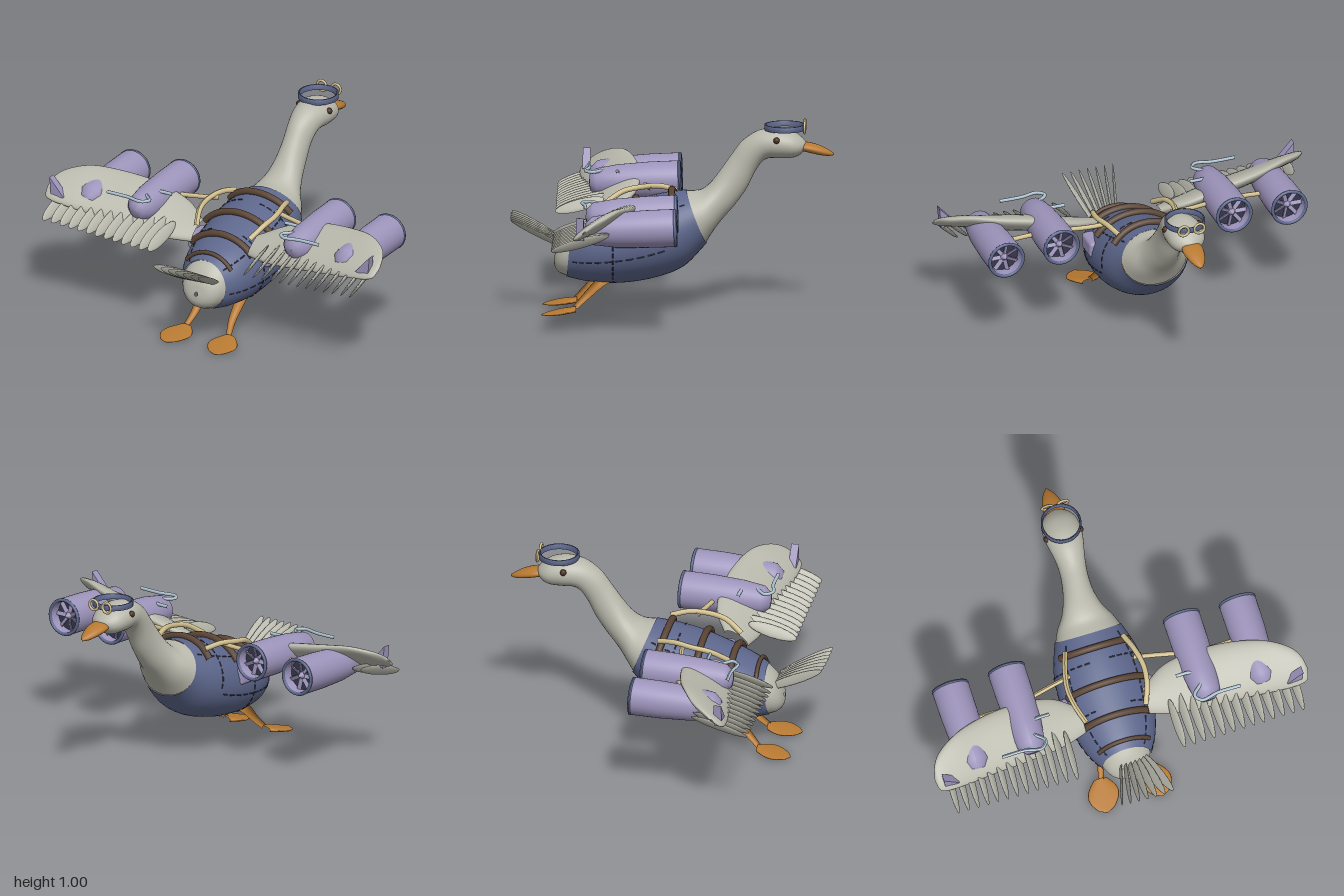
import * as THREE from 'three';
import { RoundedBoxGeometry } from 'three/addons/geometries/RoundedBoxGeometry.js';

const V = (x, y, z) => new THREE.Vector3(x, y, z);
const colours = {
  featherGrey: 0xb8b8ac, navy: 0x5d678c, lavender: 0x9d94bb, orange: 0xb87a32,
  strapBrown: 0x5a4434, tan: 0xcfbd8c, paleBlue: 0xadc0cf, seamDark: 0x34364a, eyeBrown: 0x4a2f22,
};

// Skin a closed surface over P(t, angle)
function loft(P, nt, na) {
  const pos = [], idx = [];
  for (let i = 0; i <= nt; i++)
    for (let j = 0; j < na; j++) pos.push(...P(i / nt, (j / na) * Math.PI * 2).toArray());
  for (let i = 0; i < nt; i++)
    for (let j = 0; j < na; j++) {
      const a = i * na + j, b = a + na, c = i * na + (j + 1) % na, d = c + na;
      idx.push(a, b, c, b, d, c);
    }
  const g = new THREE.BufferGeometry();
  g.setAttribute('position', new THREE.Float32BufferAttribute(pos, 3));
  g.setIndex(idx);
  g.computeVertexNormals();
  return g;
}

// Rows from back to front: top z, top y, bottom z, bottom y, half width
function bodySurface(rows) {
  const top = new THREE.CatmullRomCurve3(rows.map(r => V(r[4], r[1], r[0])));
  const bot = new THREE.CatmullRomCurve3(rows.map(r => V(r[4], r[3], r[2])));
  return (t, a, k = 1) => {
    const p = top.getPoint(t), q = bot.getPoint(t), s = Math.sin(a) * k;
    return V(p.x * Math.cos(a) * k, (p.y + q.y) / 2 + s * (p.y - q.y) / 2, (p.z + q.z) / 2 + s * (p.z - q.z) / 2);
  };
}

// Rows from root to tip: x, front z, front y, rear z, rear y, half thickness
function wingSurface(rows) {
  const front = new THREE.CatmullRomCurve3(rows.map(r => V(r[0], r[2], r[1])));
  const rear = new THREE.CatmullRomCurve3(rows.map(r => V(r[0], r[4], r[3])));
  const thick = new THREE.CatmullRomCurve3(rows.map(r => V(r[5], 0, 0)));
  return (t, a) => {
    const p = front.getPoint(t), q = rear.getPoint(t);
    const c = q.clone().lerp(p, 0.5 + 0.5 * Math.cos(a));
    c.y -= Math.sin(a) * thick.getPoint(t).x;
    return c;
  };
}

function mirrored(geo) {
  const g = geo.clone().applyMatrix4(new THREE.Matrix4().makeScale(-1, 1, 1));
  const idx = g.index ? [...g.index.array] : [...Array(g.attributes.position.count).keys()];
  for (let i = 0; i < idx.length; i += 3) [idx[i], idx[i + 1]] = [idx[i + 1], idx[i]];
  g.setIndex(idx);
  g.computeVertexNormals();
  return g;
}

const tube = (pts, r, n = 32) => new THREE.TubeGeometry(new THREE.CatmullRomCurve3(pts), n, r, 10);

function feather(w, thick, half, roll, pitch, yaw, x, y, z) {
  return new THREE.SphereGeometry(1, 12, 10).rotateX(Math.PI / 2).scale(w, thick, half)
    .rotateZ(roll).rotateX(pitch).rotateY(yaw).translate(x, y, z);
}

export function createModel() {
  const group = new THREE.Group();
  const M = {};
  for (const k in colours) {
    M[k] = new THREE.MeshStandardMaterial({ color: colours[k] });
    M[k].name = k;
  }
  const add = (name, geo, mat) => {
    const m = new THREE.Mesh(geo, M[mat]);
    m.name = name;
    group.add(m);
  };
  const pair = (name, geo, mat) => {
    add(name + 'Left', geo, mat);
    add(name + 'Right', mirrored(geo), mat);
  };

  // Flight jacket, rump, neck and head, beak
  const jacket = bodySurface([
    [.51, .44, .535, .18, .13], [.42, .485, .43, .158, .185], [.28, .54, .28, .15, .225],
    [.15, .585, .1, .175, .238], [.03, .615, -.06, .235, .222], [-.08, .63, -.185, .36, .178],
  ]);
  add('jacket', loft(jacket, 40, 40), 'navy');
  add('rump', loft(bodySurface([
    [.595, .295, .6, .275, .01], [.58, .345, .595, .23, .065], [.545, .4, .57, .2, .105], [.505, .437, .53, .183, .128],
  ]), 12, 32), 'featherGrey');
  add('neckAndHead', loft(bodySurface([
    [-.075, .626, -.18, .362, .176], [-.15, .632, -.215, .42, .148], [-.2, .67, -.26, .48, .11], [-.25, .735, -.325, .555, .083],
    [-.31, .82, -.385, .64, .071], [-.36, .885, -.43, .73, .072], [-.43, .935, -.47, .785, .082], [-.49, .953, -.5, .8, .092],
    [-.55, .957, -.55, .8, .1], [-.62, .94, -.63, .805, .092], [-.67, .905, -.67, .828, .06], [-.695, .875, -.69, .86, .012],
  ]), 60, 32), 'featherGrey');
  add('beak', loft(bodySurface([
    [-.63, .88, -.63, .84, .03], [-.69, .882, -.69, .832, .054], [-.75, .868, -.75, .818, .047],
    [-.8, .845, -.8, .811, .028], [-.832, .824, -.832, .814, .004],
  ]), 24, 20), 'orange');
  pair('eye', new THREE.SphereGeometry(.017, 14, 10).translate(.09, .905, -.54), 'eyeBrown');

  // Goggles resting on the crown
  const ring = [[.094, -.014], [.104, -.014], [.104, .014], [.094, .014], [.094, -.014]];
  add('goggleBand', new THREE.LatheGeometry(ring.map(p => new THREE.Vector2(...p)), 40)
    .translate(0, .96, -.58), 'navy');
  pair('goggleRim', new THREE.TorusGeometry(.027, .007, 8, 24).translate(.043, .964, -.683), 'tan');

  // Straps over the back
  [.86, .55, .31, .09].forEach((t, n) => {
    const pts = [];
    for (let i = 0; i <= 12; i++) pts.push(jacket(t, .6 + (Math.PI - 1.2) * i / 12, 1.05));
    add('backStrap' + n, tube(pts, n < 3 ? .018 : .011), 'strapBrown');
  });

  // Stitched seams, in short dashes
  const seam = (f, n) => {
    for (let i = 0; i < n; i++)
      pair('seam', tube([f(i / n), f((i + .35) / n), f((i + .7) / n)], .0035, 3), 'seamDark');
  };
  seam(u => jacket(.38, -1.1 + 2.3 * u, 1.002), 12);
  seam(u => jacket(.74, -.1 + 1.5 * u, 1.002), 8);
  seam(u => jacket(.05 + .69 * u, -.25, 1.002), 10);
  seam(u => jacket(.03 + .94 * u, .75, 1.002), 14);
  pair('sidePocket', new RoundedBoxGeometry(.07, .09, .14, 3, .02).translate(.21, .415, .225), 'lavender');

  // Wings
  pair('wing', loft(wingSurface([
    [.17, .25, .52, .37, .46, .03], [.3, .18, .575, .41, .465, .04], [.5, .17, .63, .44, .49, .05],
    [.7, .2, .66, .46, .515, .045], [.85, .255, .675, .48, .535, .035], [.95, .32, .655, .485, .55, .027],
    [.985, .37, .635, .475, .56, .016], [1, .42, .6, .435, .59, .003],
  ]), 40, 28), 'featherGrey');
  for (let i = 0; i < 13; i++) {
    const x = .285 + .053 * i, len = i === 0 ? .13 : .155;
    pair('wingFeather' + i, feather(.034, .009, len, 1.0, .27, .03, x, .495 + .0025 * i, .605 - len), 'featherGrey');
  }

  // Tail fan
  for (let i = 0; i < 7; i++) {
    const root = -.03 + .018 * i, tip = -.12 + .046 * i;
    add('tailFeather' + i, feather(.026, .006, .18, 1.35 - .13 * i, -.49, (tip - root) / .32,
      (root + tip) / 2, .413, .665), 'featherGrey');
  }

  // Engines with intake fans
  const shell = [[.001, -.43], [.04, -.425], [.072, -.39], [.088, -.28], [.096, -.12], [.097, .02],
    [.093, .038], [.085, .04], [.08, .03], [.079, -.03]].map(p => new THREE.Vector2(...p));
  for (const [n, x, y] of [['inner', .47, .594], ['outer', .77, .578]]) {
    const place = g => g.rotateX(-Math.PI / 2).rotateX(.04).translate(x, y, 0);
    pair(n + 'Engine', place(new THREE.LatheGeometry(shell, 36)), 'lavender');
    pair(n + 'EngineRim', place(new THREE.TorusGeometry(.09, .009, 8, 36).rotateX(Math.PI / 2).translate(0, .034, 0)), 'navy');
    pair(n + 'FanDisc', place(new THREE.CylinderGeometry(.081, .081, .01, 32).translate(0, -.022, 0)), 'seamDark');
    pair(n + 'FanHub', place(new THREE.ConeGeometry(.024, .045, 20).translate(0, .006, 0)), 'lavender');
    for (let k = 0; k < 7; k++)
      pair(n + 'FanBlade', place(new THREE.BoxGeometry(.06, .005, .022).rotateX(.5).translate(.048, -.006, 0)
        .rotateY(k * Math.PI * 2 / 7)), 'lavender');
  }

  // Wing tip fins
  const fin = new THREE.Shape([[.88, .57], [.955, .545], [.965, .665]].map(p => new THREE.Vector2(...p)));
  fin.closePath();
  pair('tipFin', new THREE.ExtrudeGeometry(fin, { depth: .04, bevelEnabled: false }).translate(0, 0, .43), 'lavender');

  // Fuel hoses, engine struts and coolant pipes
  pair('fuelHose', tube([V(.155, .6, -.03), V(.185, .615, .06), V(.205, .605, .16), V(.195, .585, .25), V(.16, .53, .34)], .014), 'tan');
  pair('engineStrut', tube([V(.17, .6, .1), V(.26, .59, .115), V(.5, .58, .16), V(.75, .57, .16)], .012), 'tan');
  pair('coolantPipe', tube([V(.64, .645, .43), V(.52, .645, .43), V(.43, .645, .445), V(.4, .645, .41),
    V(.455, .645, .35), V(.455, .645, .31), V(.42, .645, .285), V(.34, .645, .28)], .009, 60), 'paleBlue');

  // Legs and webbed feet
  const legPath = new THREE.CatmullRomCurve3([V(.105, .035, .5), V(.128, .04, .49), V(.112, .1, .43), V(.11, .16, .37), V(.1, .21, .3)].slice(1));
  pair('leg', loft((t, a) => {
    const r = .014 + .017 * t, p = legPath.getPoint(t);
    return p.add(V(Math.cos(a) * r, -Math.sin(a) * r * .7, -Math.sin(a) * r * .7));
  }, 20, 16).scale(1, 1, 1), 'orange');
  pair('foot', loft((t, a) => {
    const w = .02 + .062 * Math.sin(Math.PI * Math.min(1, .08 + t * .9)) - (t > .9 ? (t - .9) * .2 : 0);
    const h = .012 * (1 - t) + .003;
    return V(.132 + .016 * t + Math.cos(a) * w, .032 - .026 * t + Math.sin(a) * h, .485 + .175 * t);
  }, 18, 20).scale(1, 1, 1), 'orange');
  // Feet are swept front to back, so their faces are turned outward
  group.children.filter(m => m.name.startsWith('foot')).forEach(m => {
    m.geometry.index.array.reverse();
    m.geometry.computeVertexNormals();
  });
  return group;
}
